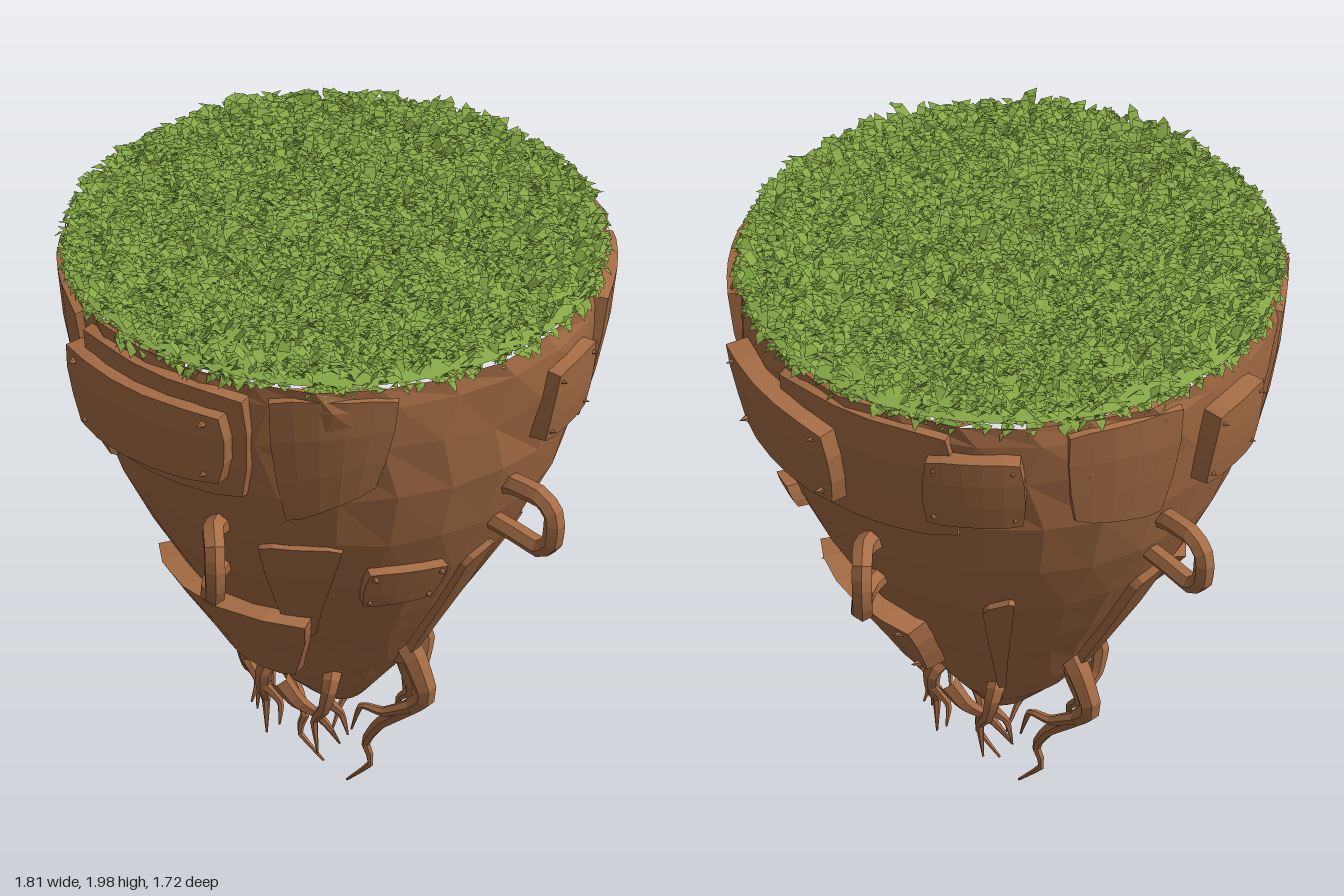
import * as THREE from 'three';

const soil = new THREE.MeshStandardMaterial({ color: 0xa66d45, flatShading: true });
soil.name = 'brown soil';
const grass = new THREE.MeshStandardMaterial({ color: 0x86a746, flatShading: true, side: THREE.DoubleSide });
grass.name = 'green grass';

// Half-profile of the rock: [radius, height]
const PROFILE = [[0, 0.32], [0.1, 0.34], [0.19, 0.42], [0.25, 0.5], [0.31, 0.6], [0.375, 0.7], [0.44, 0.8],
  [0.56, 1.0], [0.66, 1.2], [0.73, 1.4], [0.775, 1.6], [0.8, 1.76], [0.8, 1.83]];

function radiusAt(y) {
  for (let i = 1; i < PROFILE.length; i++) {
    const [r0, y0] = PROFILE[i - 1], [r1, y1] = PROFILE[i];
    if (y <= y1) return r0 + (r1 - r0) * Math.max(0, (y - y0) / (y1 - y0));
  }
  return 0.8;
}

let seed = 7;
function random() {
  seed = (seed * 16807) % 2147483647;
  return seed / 2147483647;
}

const bump = (x, y, z) => Math.sin(9 * x + 5 * y) * Math.sin(8 * z - 6 * y + 1) + 0.5 * Math.sin(17 * x - 13 * z + 11 * y);
const rad = THREE.MathUtils.degToRad;

// Local (outward, height, sideways) to model space; angle 0 is the front, 90 is +x
function polar(deg, out, y, side = 0) {
  const a = rad(deg);
  return new THREE.Vector3(out * Math.sin(a) + side * Math.cos(a), y, out * Math.cos(a) - side * Math.sin(a));
}

function warp(geometry, rule) {
  const p = geometry.attributes.position, v = new THREE.Vector3();
  for (let i = 0; i < p.count; i++) {
    rule(v.fromBufferAttribute(p, i), i);
    p.setXYZ(i, v.x, v.y, v.z);
  }
  geometry.computeVertexNormals();
  return geometry;
}

function add(parent, name, geometry, material = soil) {
  const mesh = new THREE.Mesh(geometry, material);
  mesh.name = name;
  parent.add(mesh);
  return mesh;
}

// Rock cone with uneven facets
function rockBody(parent) {
  const points = PROFILE.map(([r, y]) => new THREE.Vector2(r, y));
  add(parent, 'rockBody', warp(new THREE.LatheGeometry(points, 26), v => {
    const b = bump(v.x, v.y, v.z), r = Math.hypot(v.x, v.z);
    if (r < 0.01) return;
    const k = 1 + 0.012 * b / Math.max(r, 0.4), turn = 0.05 * Math.sin(23 * v.y);
    const x = v.x * k, z = v.z * k;
    v.set(x * Math.cos(turn) + z * Math.sin(turn), v.y + (v.y < 1.75 ? 0.02 * b : 0), z * Math.cos(turn) - x * Math.sin(turn));
  }));
}

// Slab hugging the rock; corners are [sideways, y]: lower left, lower right, upper right, upper left
function slab(parent, name, deg, corners, thick, studs = false) {
  const [a, b, c, d] = corners;
  const yMid = (a[1] + b[1] + c[1] + d[1]) / 4;
  const place = (u, w, lift) => {
    const mix = i => (a[i] * (1 - u) + b[i] * u) * (1 - w) + (d[i] * (1 - u) + c[i] * u) * w;
    const y = mix(1);
    return polar(deg + THREE.MathUtils.radToDeg(mix(0) / radiusAt(yMid)), radiusAt(y) + lift, y);
  };
  const group = new THREE.Group();
  group.name = name;
  parent.add(group);
  add(group, name + 'Stone', warp(new THREE.BoxGeometry(1, 1, 1, 5, 3, 1), v => {
    const corner = Math.abs(v.x) > 0.49 && Math.abs(v.y) > 0.49 ? 0.94 : 1;
    const shrink = v.z > 0 ? corner * 0.94 : corner;
    const rough = 0.006 * Math.sin(31 * v.x + 17 * v.y + deg);
    v.copy(place(0.5 + v.x * shrink, 0.5 + v.y * shrink, v.z > 0 ? thick + rough : -0.04));
  }));
  if (!studs) return;
  for (const u of [0.13, 0.87]) for (const w of [0.16, 0.84]) {
    const stud = add(group, 'stud', new THREE.ConeGeometry(0.012, 0.03, 5));
    stud.position.copy(place(u, w, thick + 0.008));
    stud.quaternion.setFromUnitVectors(new THREE.Vector3(0, 1, 0), polar(deg, 1, 0));
  }
}

// Tapered faceted tube along local (outward, y, sideways) points
function limb(parent, name, deg, path, r0, r1, steps = 14) {
  const curve = new THREE.CatmullRomCurve3(path.map(p => polar(deg, ...p)), false, 'catmullrom', 0.25);
  const sides = 6, centre = new THREE.Vector3();
  add(parent, name, warp(new THREE.TubeGeometry(curve, steps, 1, sides), (v, i) => {
    const t = Math.floor(i / (sides + 1)) / steps;
    curve.getPointAt(t, centre);
    v.sub(centre).multiplyScalar(r0 + (r1 - r0) * t).add(centre);
  }));
}

// Domed turf covered with bent blades
function turf(parent) {
  const domeY = r => 1.835 + 0.125 * (1 - (r / 0.8) ** 2);
  const points = [0.79, 0.7, 0.55, 0.35, 0.15, 0].map(r => new THREE.Vector2(r, domeY(r)));
  add(parent, 'turf', new THREE.LatheGeometry(points, 36), grass);

  const verts = [];
  const blade = (r, a, edge) => {
    const base = new THREE.Vector3(r * Math.sin(a), domeY(r) - 0.006, r * Math.cos(a));
    const yaw = edge ? a + (random() - 0.5) * 1.6 : random() * Math.PI * 2;
    const len = 0.04 + random() * 0.035, wide = 0.011 + random() * 0.008;
    const rise = edge ? random() * 0.9 - 0.55 : 0.25 + random() * 0.45;
    const forward = new THREE.Vector3(Math.sin(yaw), 0, Math.cos(yaw));
    const across = new THREE.Vector3(Math.cos(yaw), (random() - 0.5) * 0.8, -Math.sin(yaw)).multiplyScalar(wide);
    const reach = edge ? 0.5 : 1;
    const mid = base.clone().addScaledVector(forward, len * 0.5 * reach).add(new THREE.Vector3(0, len * rise * 0.7 + 0.008, 0));
    const tip = base.clone().addScaledVector(forward, len * reach).add(new THREE.Vector3(0, len * rise * (edge ? 1.2 : 0.9), 0));
    const bl = base.clone().sub(across), br = base.clone().add(across);
    const ml = mid.clone().sub(across), mr = mid.clone().add(across);
    for (const p of [bl, br, mr, bl, mr, ml, ml, mr, tip]) verts.push(p.x, p.y, p.z);
  };
  for (let i = 0; i < 4200; i++) blade(0.765 * Math.sqrt(random()), random() * Math.PI * 2, false);
  for (let i = 0; i < 420; i++) blade(0.775 + random() * 0.015, random() * Math.PI * 2, true);
  const geometry = new THREE.BufferGeometry();
  geometry.setAttribute('position', new THREE.Float32BufferAttribute(verts, 3));
  geometry.computeVertexNormals();
  add(parent, 'grassBlades', geometry, grass);
}

export function createModel() {
  const model = new THREE.Group();
  model.name = 'floatingIsland';
  rockBody(model);
  turf(model);

  // Thick plates set on the rock
  const box = (w, y0, y1, skew = 0.015) => [[-w / 2, y0], [w / 2, y0 + skew], [w / 2 - skew, y1], [-w / 2 + skew, y1 - skew]];
  slab(model, 'frontPlate', 0, [[-0.36, 1.4], [0.28, 1.46], [0.3, 1.74], [-0.37, 1.71]], 0.065, true);
  slab(model, 'backPlate', 173, [[-0.27, 1.42], [0.24, 1.4], [0.25, 1.71], [-0.26, 1.75]], 0.065, true);
  slab(model, 'backRightPlate', 222, box(0.32, 1.44, 1.74), 0.045, true);
  slab(model, 'leftSidePlate', 102, box(0.24, 1.45, 1.73), 0.04, true);
  slab(model, 'rightSidePlate', 284, box(0.25, 1.43, 1.73), 0.05, true);
  slab(model, 'lowLeftPlate', 62, [[-0.12, 0.93], [0.12, 0.92], [0.14, 1.07], [-0.11, 1.1]], 0.045, true);
  slab(model, 'smallBackPlate', 159, box(0.13, 1.15, 1.25), 0.03);
  slab(model, 'lowFrontSlab', -3, [[-0.15, 0.52], [0.18, 0.53], [0.27, 0.86], [-0.31, 0.83]], 0.065);
  slab(model, 'lowBackSlab', 167, [[-0.17, 0.57], [0.16, 0.56], [0.22, 0.84], [-0.2, 0.88]], 0.075, true);

  // Thin crust layers that break up the upper wall
  slab(model, 'crust', -38, [[-0.28, 1.34], [0.22, 1.25], [0.18, 1.81], [-0.2, 1.81]], 0.02);
  slab(model, 'crust', 2, [[-0.32, 1.34], [0.3, 1.38], [0.33, 1.8], [-0.34, 1.8]], 0.018);
  slab(model, 'crust', 42, [[-0.16, 1.28], [0.15, 1.45], [0.22, 1.81], [-0.2, 1.81]], 0.014);
  slab(model, 'crust', 128, [[-0.14, 1.33], [0.2, 1.32], [0.24, 1.81], [-0.16, 1.81]], 0.02);
  slab(model, 'crust', 198, [[-0.34, 1.32], [0.3, 1.36], [0.28, 1.81], [-0.36, 1.81]], 0.014);
  slab(model, 'crust', 255, [[-0.16, 1.42], [0.18, 1.34], [0.2, 1.81], [-0.2, 1.81]], 0.014);
  slab(model, 'crust', 30, [[-0.06, 0.75], [0.05, 0.72], [0.16, 1.22], [-0.08, 1.2]], 0.02);
  // Narrow ridges running down the cone
  for (const deg of [88, 272, 225]) slab(model, 'ridge', deg, [[-0.02, 0.5], [0.02, 0.5], [0.05, 1.08], [-0.03, 1.02]], 0.025);

  // Bent root handles
  const sideHandle = [[0.62, 1.29, 0], [0.72, 1.315, 0], [0.83, 1.315, 0], [0.875, 1.27, 0], [0.865, 1.18, 0], [0.82, 1.14, 0], [0.72, 1.15, 0], [0.58, 1.16, 0]];
  const slantHandle = [[0.6, 1.22, -0.03], [0.72, 1.25, -0.02], [0.79, 1.235, 0.02], [0.805, 1.16, 0.03], [0.785, 1.07, 0.02], [0.74, 1.04, -0.02], [0.64, 1.035, -0.06], [0.5, 1.02, -0.08]];
  for (const deg of [90, 270]) limb(model, 'sideHandle', deg, sideHandle, 0.034, 0.03, 20);
  for (const deg of [15, 195]) limb(model, 'slantHandle', deg, slantHandle, 0.036, 0.03, 20);

  // Long side roots that meet below the tip, with forked twigs
  for (const deg of [90, 270]) {
    limb(model, 'longRoot', deg, [[0.24, 0.62, 0], [0.31, 0.55, 0], [0.355, 0.43, 0.01], [0.29, 0.36, 0.01], [0.19, 0.27, -0.01], [0.12, 0.17, 0], [0.135, 0.1, 0.01], [0.06, 0.02, -0.015]], 0.045, 0.004, 22);
    limb(model, 'forkRoot', deg, [[0.28, 0.58, 0], [0.25, 0.48, 0.03], [0.26, 0.39, 0.05], [0.2, 0.33, 0.06], [0.17, 0.25, 0.08]], 0.035, 0.004);
    limb(model, 'twig', deg, [[0.3, 0.37, 0], [0.22, 0.33, -0.03], [0.15, 0.33, -0.05], [0.12, 0.24, -0.06]], 0.022, 0.003);
  }
  // Medium roots at the front and back
  for (const deg of [-8, 40, 172, 220, 318, 140]) {
    limb(model, 'shortRoot', deg, [[0.2, 0.54, 0.01], [0.265, 0.48, 0], [0.255, 0.39, -0.02], [0.22, 0.33, -0.05], [0.225, 0.22, -0.04]], 0.036, 0.003);
    limb(model, 'twig', deg, [[0.26, 0.42, -0.01], [0.23, 0.36, 0.03], [0.25, 0.3, 0.05]], 0.02, 0.003, 8);
  }
  // Inner roots converging under the tip
  for (const deg of [-5, 175]) {
    limb(model, 'innerRoot', deg, [[0.24, 0.45, 0.02], [0.19, 0.36, 0.04], [0.1, 0.27, 0.03], [0.06, 0.21, 0.04], [0.01, 0.13, 0.03]], 0.032, 0.003);
  }
  return model;
}
